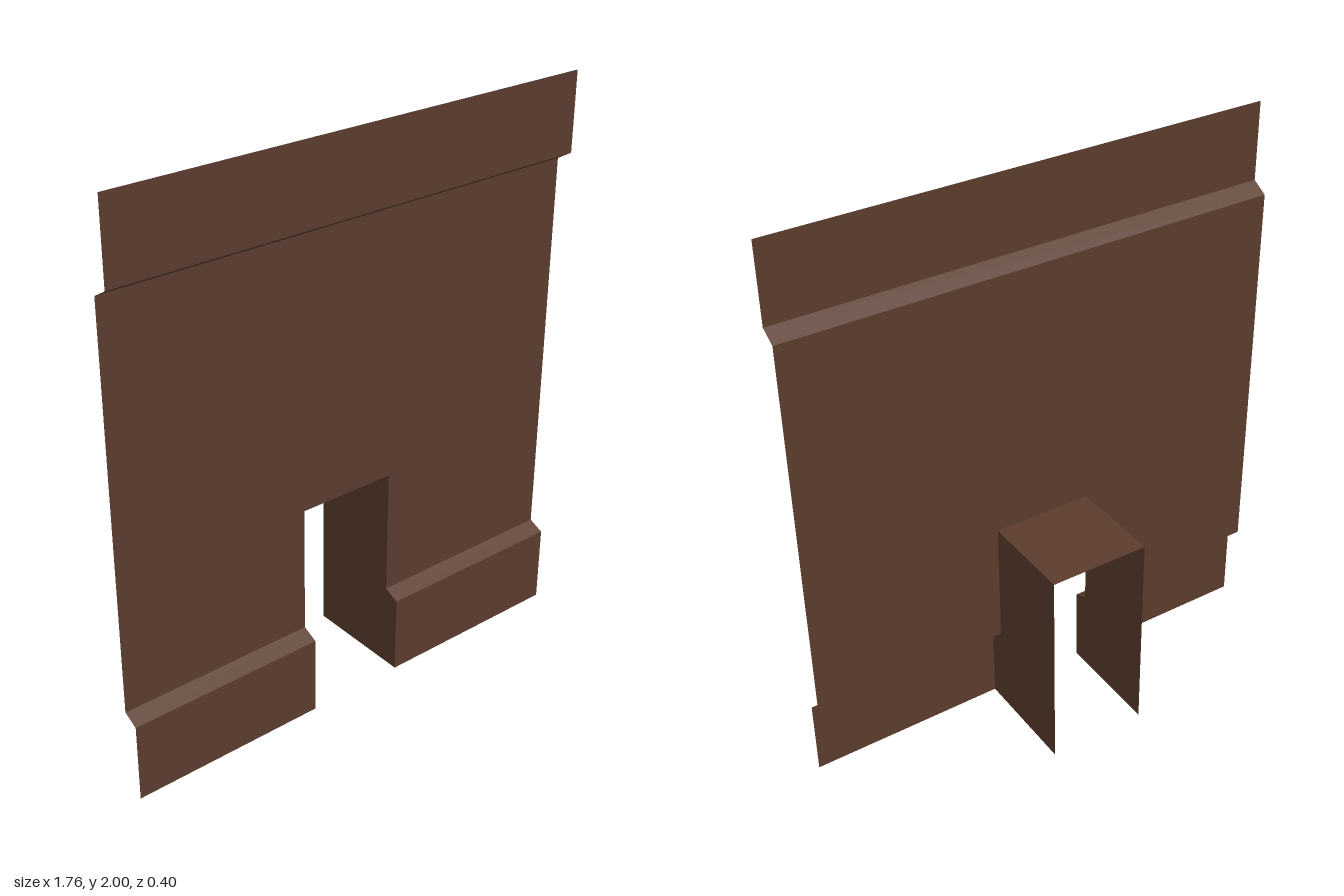
import * as THREE from 'three';

const HALF = 0.88, LEFT = 0.175, RIGHT = -0.18, TOP = 0.755, BACK = -0.198;
const OUT = 0.198, IN = 0.143;

// Wall section as [y, z]: projecting base, recessed middle, projecting top band
const base = [[0, OUT], [0.28, OUT], [0.305, IN]];
const lower = [...base, [TOP, IN]];
const upper = [[TOP, IN], [1.695, IN], [1.727, OUT], [2, OUT]];

// Sweeps an open section of [y, z] points between two x positions, flat faced
function sheet(section, x0, x1) {
  const pos = [];
  for (let i = 0; i < section.length - 1; i++) {
    const [ya, za] = section[i], [yb, zb] = section[i + 1];
    pos.push(x0, ya, za, x1, ya, za, x1, yb, zb, x0, ya, za, x1, yb, zb, x0, yb, zb);
  }
  const g = new THREE.BufferGeometry();
  g.setAttribute('position', new THREE.Float32BufferAttribute(pos, 3));
  g.computeVertexNormals();
  return g;
}

// Doorway side: flat plate from the wall section to the back edge
function jamb(x) {
  const shape = new THREE.Shape([
    new THREE.Vector2(BACK, 0),
    ...lower.map(([y, z]) => new THREE.Vector2(z, y)),
    new THREE.Vector2(BACK, TOP),
  ]);
  return new THREE.ShapeGeometry(shape).rotateY(-Math.PI / 2).translate(x, 0, 0);
}

export function createModel() {
  const brown = new THREE.MeshStandardMaterial({ color: 0x5c3d2e, side: THREE.DoubleSide });
  brown.name = 'brown';
  const model = new THREE.Group();
  model.name = 'doorwayWall';
  const add = (name, geometry) => {
    const mesh = new THREE.Mesh(geometry, brown);
    mesh.name = name;
    model.add(mesh);
  };

  // Wall panels around the opening
  add('upperWall', sheet(upper, -HALF, HALF));
  add('rightLowerWall', sheet(lower, -HALF, RIGHT));
  add('leftLowerWall', sheet(lower, LEFT, HALF));

  // Deep doorway, open at front, back and floor
  add('rightDoorJamb', jamb(RIGHT));
  add('leftDoorJamb', jamb(LEFT));
  add('doorCeiling', sheet([[TOP, IN], [TOP, BACK]], RIGHT, LEFT));

  return model;
}
